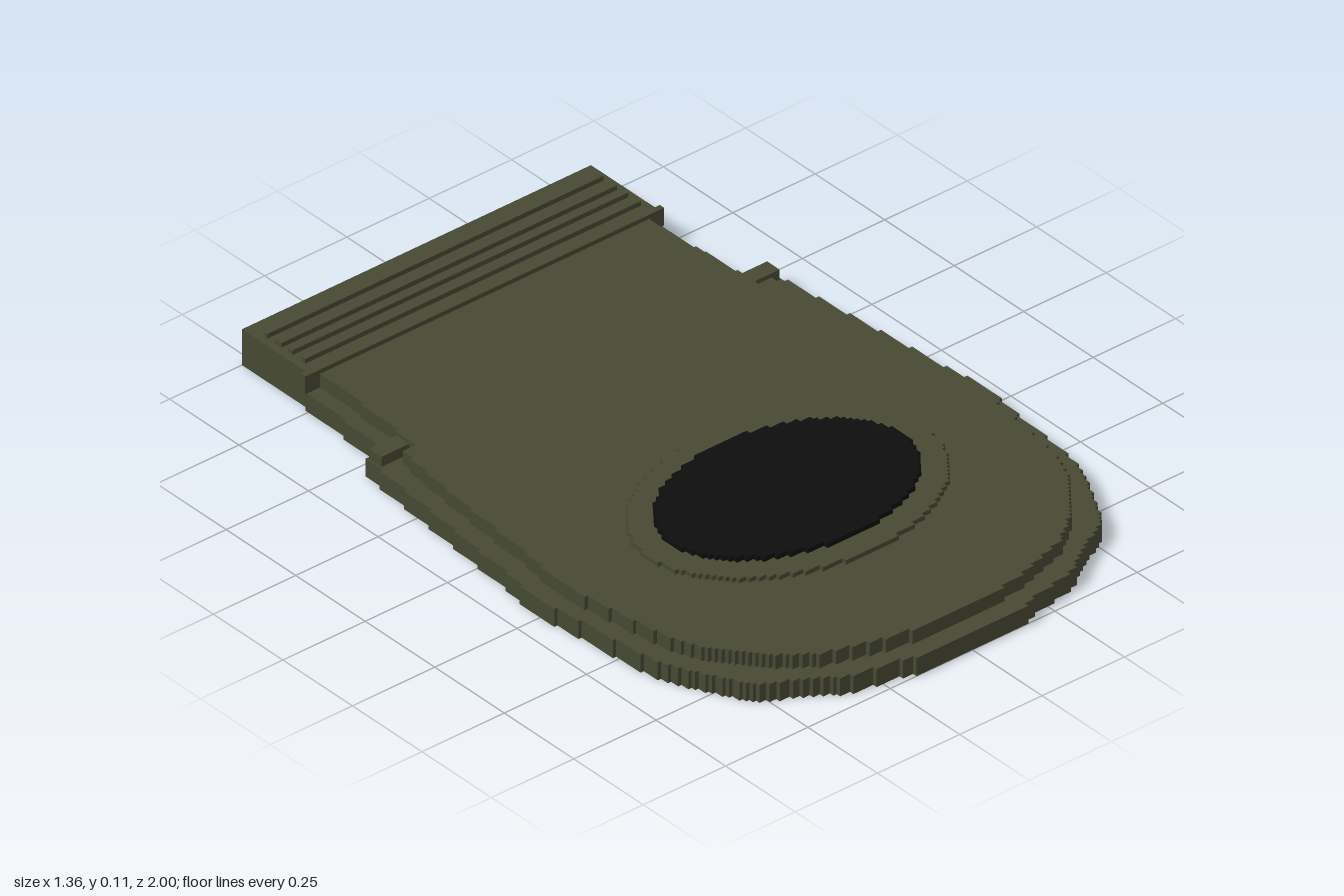
import * as THREE from 'three';

const STEP = 0.0125;

// Half-width of a mirrored outline at depth z, from [z, halfWidth] pairs.
function widthAt(profile, z) {
  for (let i = 1; i < profile.length; i++) {
    const [z0, w0] = profile[i - 1], [z1, w1] = profile[i];
    if (z <= z1 && z1 > z0) return w0 + (w1 - w0) * (z - z0) / (z1 - z0);
  }
  return profile[profile.length - 1][1];
}

// Flat plate with a stair-stepped, left-right symmetric outline.
function steppedPlate(profile, y0, y1) {
  const zStart = profile[0][0], zEnd = profile[profile.length - 1][0];
  const rows = Math.round((zEnd - zStart) / STEP), dz = (zEnd - zStart) / rows;
  const side = [];
  let last = null;
  for (let i = 0; i < rows; i++) {
    const z = zStart + i * dz;
    const w = Math.round(widthAt(profile, z + dz / 2) * 100) / 100;
    if (w === last) continue;
    if (last !== null) side.push([last, z]);
    side.push([w, z]);
    last = w;
  }
  side.push([last, zEnd]);
  const points = [
    ...side.map(([x, z]) => new THREE.Vector2(x, -z)),
    ...side.reverse().map(([x, z]) => new THREE.Vector2(-x, -z)),
  ];
  const geo = new THREE.ExtrudeGeometry(new THREE.Shape(points), { depth: y1 - y0, bevelEnabled: false });
  return geo.rotateX(-Math.PI / 2).translate(0, y0, 0);
}

// Oval [z, halfWidth] profile made of straight facets.
function ovalProfile(rx, rz, cz, facets) {
  const out = [];
  for (let i = 0; i <= facets; i++) {
    const a = Math.PI * i / facets;
    out.push([cz - rz * Math.cos(a), rx * Math.sin(a)]);
  }
  return out;
}

export function createModel() {
  const group = new THREE.Group();
  const olive = new THREE.MeshStandardMaterial({ color: 0x474934 });
  olive.name = 'olive';
  const black = new THREE.MeshStandardMaterial({ color: 0x0d0d0d });
  black.name = 'black';

  const add = (name, geo, mat = olive) => {
    const mesh = new THREE.Mesh(geo, mat);
    mesh.name = name;
    group.add(mesh);
  };
  const box = (x0, x1, y0, y1, z0, z1) =>
    new THREE.BoxGeometry(x1 - x0, y1 - y0, z1 - z0)
      .translate((x0 + x1) / 2, (y0 + y1) / 2, (z0 + z1) / 2);

  // Lower body plate
  add('basePlate', steppedPlate([
    [-0.76, 0.54], [-0.46, 0.55], [-0.455, 0.605], [-0.4, 0.615], [-0.2, 0.635], [0, 0.655],
    [0.17, 0.67], [0.18, 0.68], [0.3, 0.68], [0.31, 0.67], [0.55, 0.65], [0.62, 0.635],
    [0.7, 0.605], [0.84, 0.53], [0.9, 0.42], [0.955, 0.34], [0.985, 0.18], [1, 0.16],
  ], 0, 0.05));

  // Inset upper body plate
  add('upperPlate', steppedPlate([
    [-0.76, 0.495], [-0.66, 0.5], [-0.39, 0.52], [-0.385, 0.56], [-0.25, 0.58], [0, 0.605],
    [0.18, 0.62], [0.2, 0.632], [0.3, 0.632], [0.5, 0.605], [0.6, 0.59], [0.7, 0.55],
    [0.8, 0.47], [0.88, 0.37], [0.93, 0.22], [0.95, 0.1],
  ], 0.05, 0.088));

  // Raised block at the back with its narrow front lip
  add('rearBlock', box(-0.53, 0.53, 0, 0.1, -1, -0.76));
  add('rearLip', box(-0.545, 0.545, 0.05, 0.1, -0.77, -0.755));

  // Cross ridges on the block
  for (const [z0, z1] of [[-0.942, -0.932], [-0.905, -0.882], [-0.856, -0.842], [-0.81, -0.796]]) {
    add('ridge', box(-0.51, 0.51, 0.1, 0.113, z0, z1));
  }

  // Side shoulder tabs
  for (const s of [-1, 1]) {
    add('shoulderTab', box(Math.min(s * 0.51, s * 0.605), Math.max(s * 0.51, s * 0.605), 0.05, 0.078, -0.455, -0.41));
  }

  // Oval pad with its surround
  add('padSurround', steppedPlate(ovalProfile(0.42, 0.305, 0.335, 14), 0.088, 0.1));
  add('pad', steppedPlate(ovalProfile(0.352, 0.24, 0.333, 14), 0.1, 0.113), black);

  return group;
}
